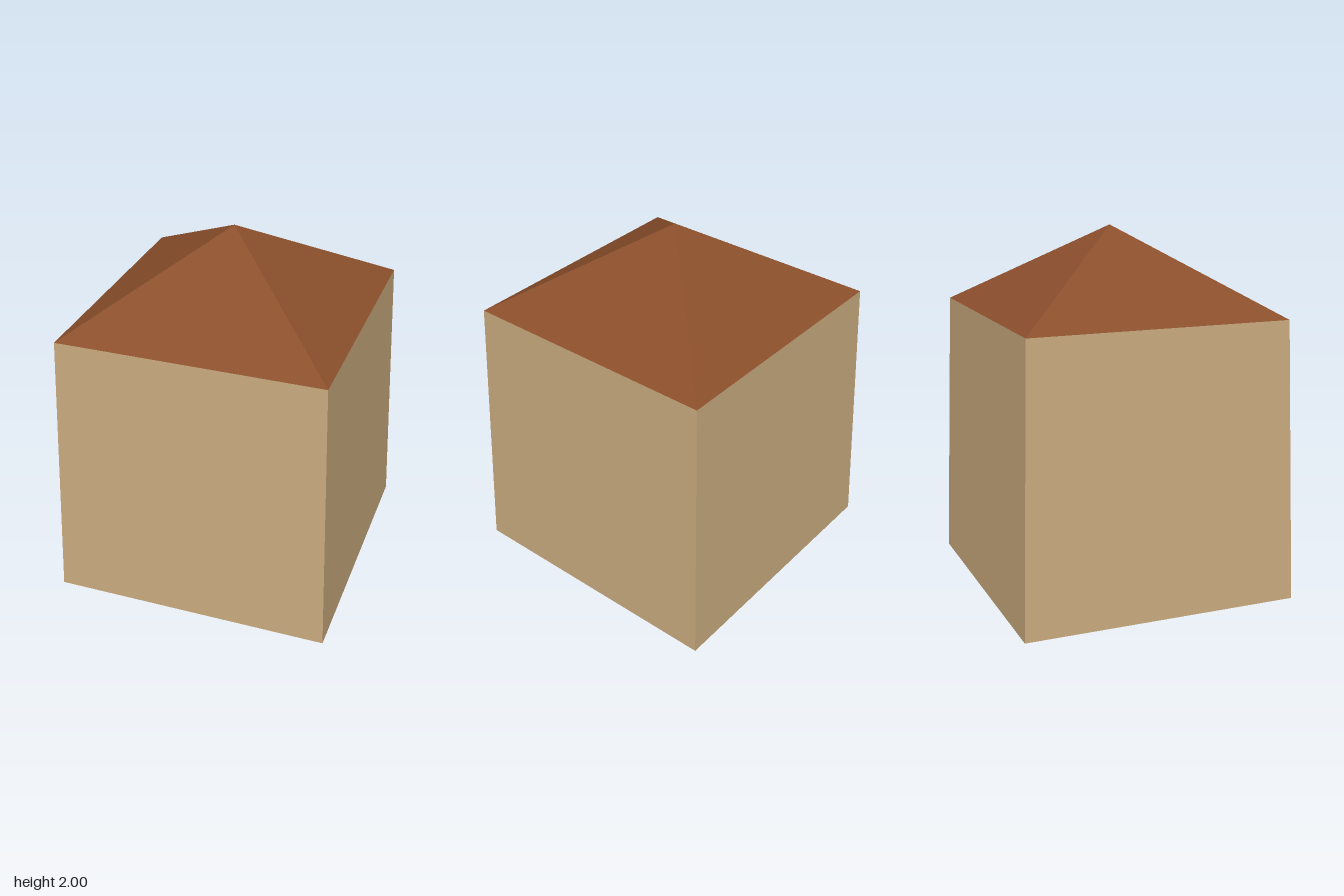
import * as THREE from 'three';

const BASE = 0.767, EAVE = 0.72, WALL_HEIGHT = 1.54, HEIGHT = 2;

// Four-sided solid, aligned with the axes; sizes are half-widths of its square ends
function squareFrustum(name, top, bottom, y0, y1, material) {
  const geometry = new THREE.CylinderGeometry(top * Math.SQRT2, bottom * Math.SQRT2, y1 - y0, 4);
  geometry.rotateY(Math.PI / 4);
  geometry.translate(0, (y0 + y1) / 2, 0);
  const mesh = new THREE.Mesh(geometry, material);
  mesh.name = name;
  return mesh;
}

export function createModel() {
  const wallMaterial = new THREE.MeshStandardMaterial({ color: 0xc9aa7e, flatShading: true });
  wallMaterial.name = 'tan wall';
  const roofMaterial = new THREE.MeshStandardMaterial({ color: 0x8b4f2c, flatShading: true });
  roofMaterial.name = 'brown roof';

  const house = new THREE.Group();
  house.name = 'house';
  // Slightly tapered walls
  house.add(squareFrustum('walls', EAVE, BASE, 0, WALL_HEIGHT, wallMaterial));
  // Pyramid roof, flush with the wall tops
  house.add(squareFrustum('roof', 0, EAVE, WALL_HEIGHT, HEIGHT, roofMaterial));
  return house;
}
